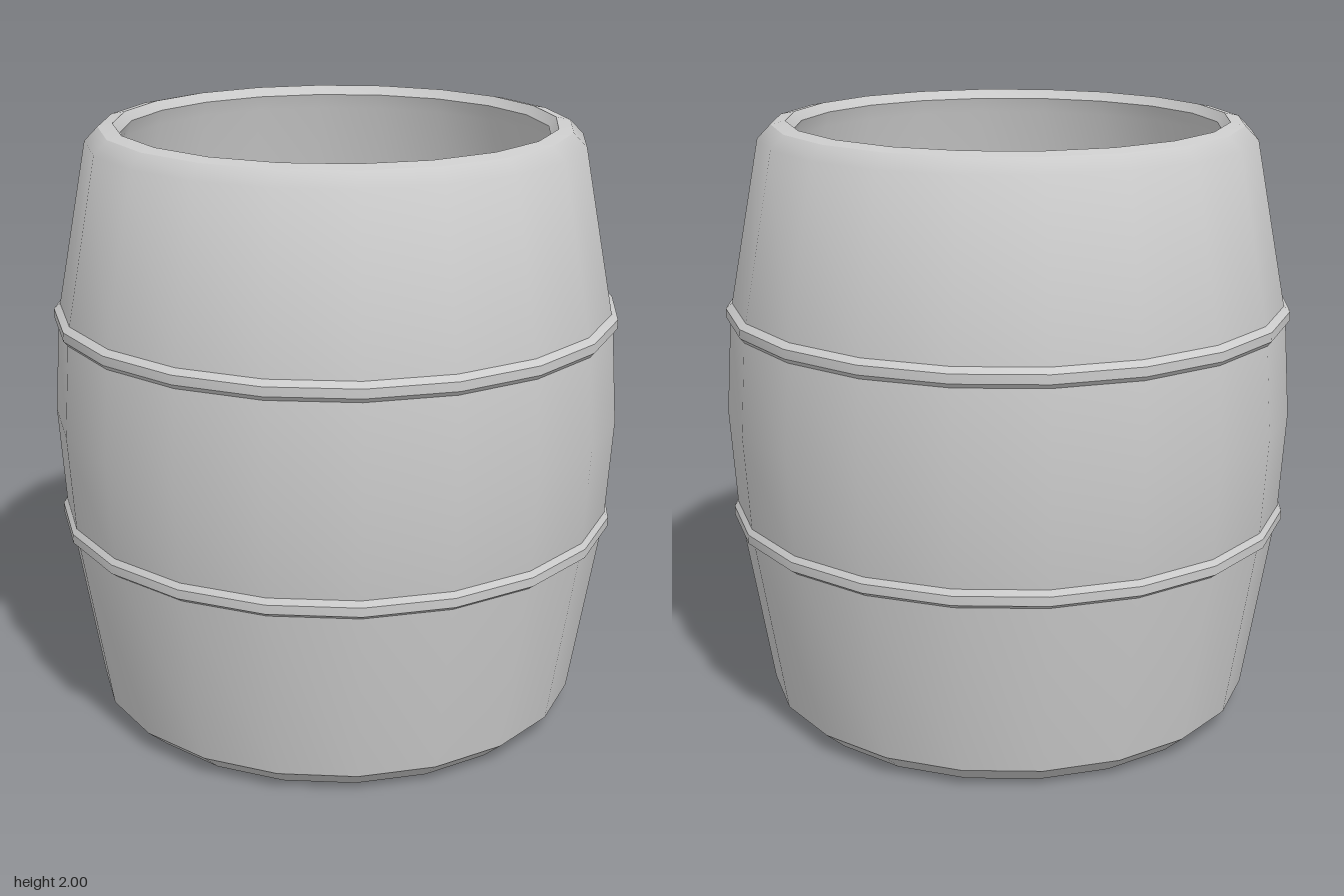
import * as THREE from 'three';
import { toCreasedNormals } from 'three/addons/utils/BufferGeometryUtils.js';

const SIDES = 20;

export function createModel() {
  const group = new THREE.Group();
  const material = new THREE.MeshStandardMaterial({ color: 0xcccccc });

  // Spin a [radius, height] profile; a crease angle keeps sharper edges hard
  const addLathe = (name, profile, crease) => {
    const points = profile.map(([r, y]) => new THREE.Vector2(r, y));
    let geometry = new THREE.LatheGeometry(points, SIDES);
    if (crease) geometry = toCreasedNormals(geometry, crease);
    const mesh = new THREE.Mesh(geometry, material);
    mesh.name = name;
    group.add(mesh);
  };

  // Bulging outer wall with bevelled foot and shoulder
  addLathe('outerWall', [
    [0.745, 0], [0.818, 0.065], [0.92, 0.69], [0.942, 1.04],
    [0.92, 1.375], [0.812, 1.945], [0.768, 1.99],
  ], 0.65);

  // Flat underside
  const base = new THREE.Mesh(new THREE.CircleGeometry(0.745, SIDES), material);
  base.rotation.x = Math.PI / 2;
  base.name = 'base';
  group.add(base);

  // Narrow lip around the opening
  addLathe('rim', [[0.768, 1.99], [0.72, 2], [0.697, 1.97]], 0.4);

  // Hollow inside, smooth from lip to floor
  addLathe('innerWall', [
    [0.697, 1.97], [0.712, 1.92], [0.825, 1.375], [0.85, 1.04],
    [0.825, 0.69], [0.73, 0.09], [0, 0.09],
  ]);

  // Two raised hoops
  addLathe('lowerHoop', [
    [0.912, 0.655], [0.935, 0.672], [0.935, 0.702], [0.918, 0.725],
  ], 0.4);
  addLathe('upperHoop', [
    [0.918, 1.34], [0.935, 1.36], [0.935, 1.39], [0.91, 1.41],
  ], 0.4);

  return group;
}
